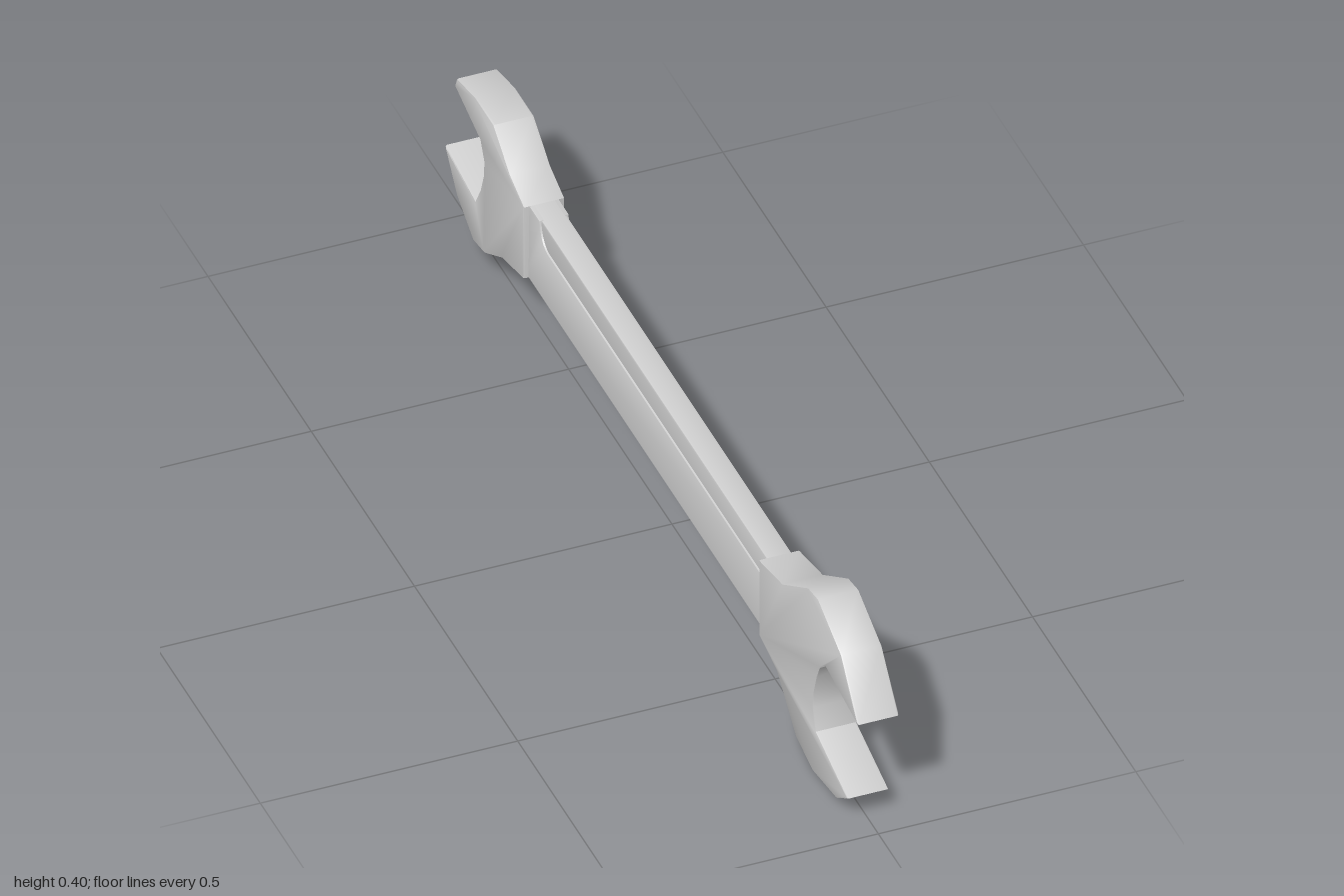
import * as THREE from 'three';
import { toCreasedNormals } from 'three/addons/utils/BufferGeometryUtils.js';

const steel = new THREE.MeshStandardMaterial({ color: 0xcecece });
steel.name = 'steel grey';

// Extrudes a side profile drawn in (z, y) to a thickness centred on x = 0
function slab(name, shape, halfWidth, bevel) {
  const depth = 2 * (halfWidth - bevel);
  const geometry = new THREE.ExtrudeGeometry(shape, {
    depth,
    curveSegments: 8,
    bevelEnabled: true,
    bevelThickness: bevel,
    bevelSize: bevel,
    bevelOffset: -bevel,
    bevelSegments: 2,
  });
  geometry.translate(0, 0, -depth / 2);
  geometry.rotateY(-Math.PI / 2);
  const mesh = new THREE.Mesh(toCreasedNormals(geometry, 0.7), steel);
  mesh.name = name;
  return mesh;
}

const outline = (points) => new THREE.Shape(points.map(([z, y]) => new THREE.Vector2(z, y)));

export function createModel() {
  const group = new THREE.Group();
  group.name = 'openEndedSpanner';

  // Large open jaw at the front
  group.add(slab('largeJaw', outline([
    [0.52, 0.293], [0.633, 0.318], [0.757, 0.396], [0.805, 0.404], [0.917, 0.356],
    [1.0, 0.256], [0.843, 0.278], [0.815, 0.255], [0.8, 0.225], [0.785, 0.18],
    [0.783, 0.145], [0.795, 0.098], [0.95, 0.055], [0.895, 0.018], [0.78, 0],
    [0.7, 0.02], [0.607, 0.104], [0.52, 0.125],
  ]), 0.04, 0.003));

  // Small open jaw at the back
  group.add(slab('smallJaw', outline([
    [-0.618, 0.293], [-0.687, 0.318], [-0.767, 0.375], [-0.858, 0.375], [-0.944, 0.356],
    [-0.954, 0.334], [-0.83, 0.297], [-0.812, 0.262], [-0.815, 0.227], [-0.83, 0.185],
    [-0.855, 0.142], [-1.0, 0.167], [-0.944, 0.094], [-0.864, 0.047], [-0.81, 0.056],
    [-0.725, 0.104], [-0.622, 0.13],
  ]), 0.04, 0.004));

  // Handle body with its upper flanks cut away, the cut ending in a curve
  const body = new THREE.Shape();
  body.moveTo(-0.64, 0.128);
  body.lineTo(0.54, 0.128);
  body.lineTo(0.54, 0.245);
  body.lineTo(-0.53, 0.245);
  body.quadraticCurveTo(-0.565, 0.248, -0.57, 0.293);
  body.lineTo(-0.64, 0.293);
  body.closePath();
  group.add(slab('handleBody', body, 0.029, 0.003));

  // Slightly narrower upper spine inside the cut
  group.add(slab('handleSpine', outline([
    [-0.63, 0.2], [0.54, 0.2], [0.54, 0.293], [-0.63, 0.293],
  ]), 0.025, 0.005));

  return group;
}
